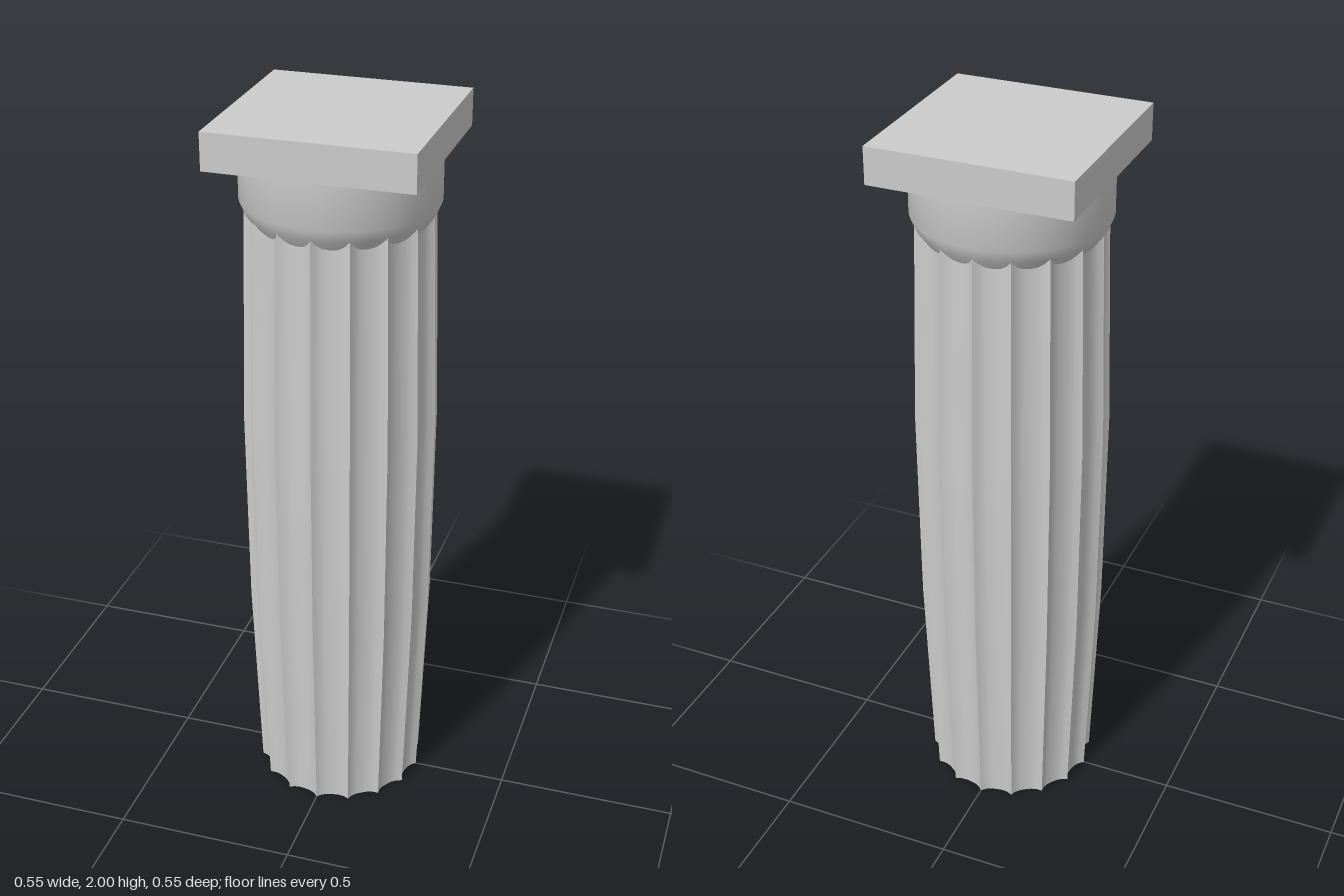
import * as THREE from 'three';
import { toCreasedNormals } from 'three/addons/utils/BufferGeometryUtils.js';

const FLUTES = 16;
// one flute: [fraction of its width, depth as a fraction of the radius]
const FLUTE = [[0, 0], [0.13, 0.05], [0.3, 0.077], [0.5, 0.083], [0.7, 0.077], [0.87, 0.05]];
// bulging shaft: [ridge radius, height]
const SHAFT = [[0.236, 0], [0.258, 0.58], [0.264, 1.16], [0.249, 1.745]];

function flutedShaft() {
  const positions = [], index = [];
  const n = FLUTES * FLUTE.length;
  for (const [radius, y] of SHAFT) {
    for (let f = 0; f < FLUTES; f++) {
      for (const [t, depth] of FLUTE) {
        const a = ((f + t) / FLUTES) * Math.PI * 2;
        const r = radius * (1 - depth);
        positions.push(Math.sin(a) * r, y, Math.cos(a) * r);
      }
    }
  }
  for (let row = 0; row < SHAFT.length - 1; row++) {
    for (let i = 0; i < n; i++) {
      const a = row * n + i, b = row * n + (i + 1) % n;
      index.push(a, b, b + n, a, b + n, a + n);
    }
  }
  const geometry = new THREE.BufferGeometry();
  geometry.setAttribute('position', new THREE.Float32BufferAttribute(positions, 3));
  geometry.setIndex(index);
  return toCreasedNormals(geometry, 0.6);
}

export function createModel() {
  const group = new THREE.Group();
  group.name = 'column';
  const material = new THREE.MeshStandardMaterial({ color: 0xcccccc, side: THREE.DoubleSide });
  const add = (name, geometry, y = 0) => {
    const mesh = new THREE.Mesh(geometry, material);
    mesh.name = name;
    mesh.position.y = y;
    group.add(mesh);
  };

  // hollow shaft, open at the foot
  add('flutedShaft', flutedShaft());

  // round cushion, tapering in to swallow the tops of the ridges
  const profile = [[0, 1.71], [0.226, 1.71], [0.249, 1.743], [0.262, 1.775], [0.262, 1.9]]
    .map(([r, y]) => new THREE.Vector2(r, y));
  add('capital', toCreasedNormals(new THREE.LatheGeometry(profile, 64), 0.6));

  // square slab on top
  add('abacus', new THREE.BoxGeometry(0.545, 0.1, 0.545), 1.95);

  return group;
}
